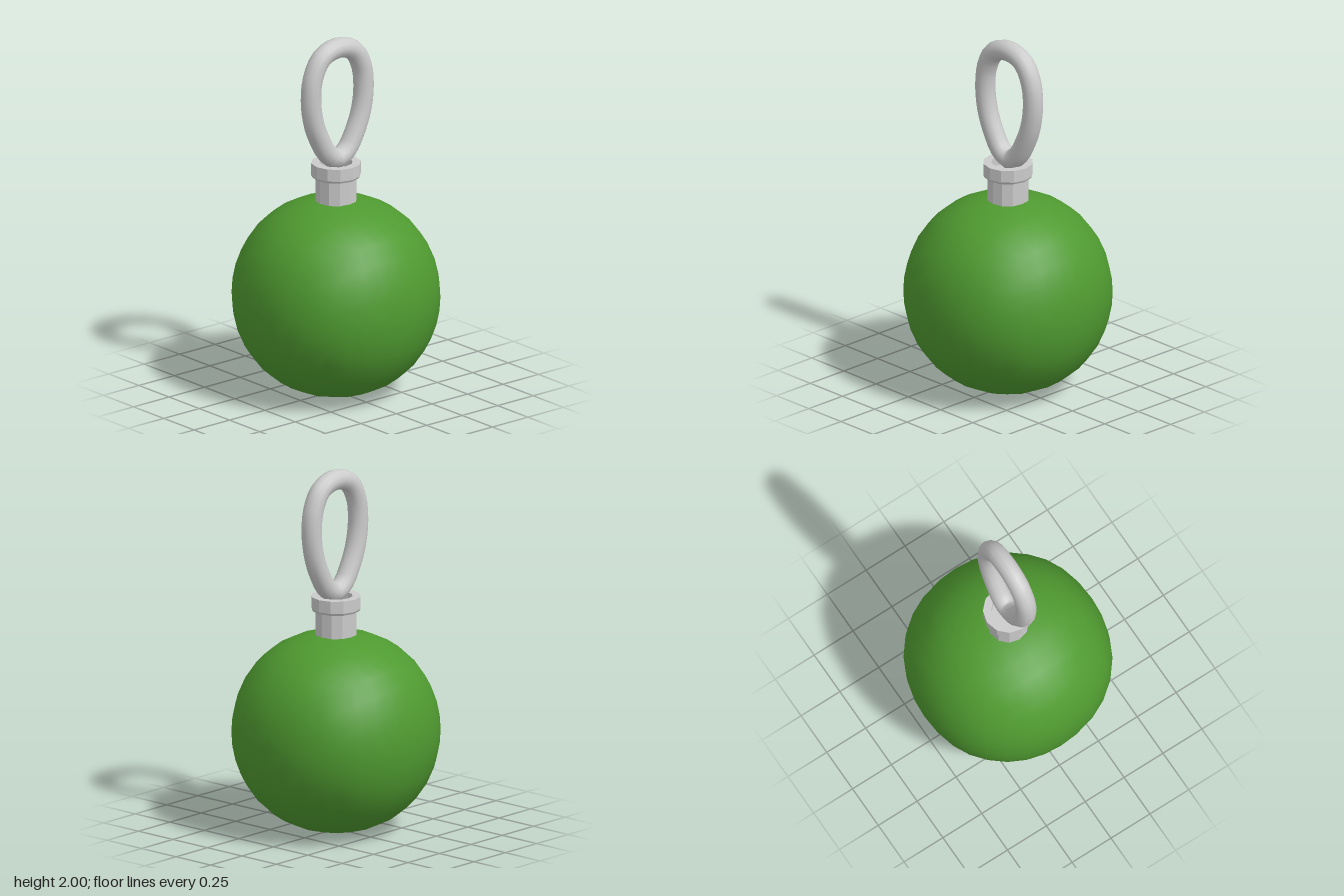
import * as THREE from 'three';
import { mergeVertices } from 'three/addons/utils/BufferGeometryUtils.js';

const green = new THREE.MeshStandardMaterial({ color: 0x4f9a30 });
const grey = new THREE.MeshStandardMaterial({ color: 0xcccccc });
const greyFlat = new THREE.MeshStandardMaterial({ color: 0xcccccc, flatShading: true });

function addMesh(group, name, geometry, material) {
  const mesh = new THREE.Mesh(geometry, material);
  mesh.name = name;
  group.add(mesh);
  return mesh;
}

// Subdivided cube rounded to a ball, very slightly fuller at the cube edges
function roundedCubeBall(radius) {
  let geo = new THREE.BoxGeometry(2, 2, 2, 8, 8, 8);
  geo.deleteAttribute('uv');
  geo.deleteAttribute('normal');
  geo = mergeVertices(geo);
  const pos = geo.attributes.position;
  const v = new THREE.Vector3();
  for (let i = 0; i < pos.count; i++) {
    v.fromBufferAttribute(pos, i);
    v.set(...v.toArray().map((c) => Math.tan(c * Math.PI / 4))).normalize();
    const u = 1 - (v.x ** 4 + v.y ** 4 + v.z ** 4);
    v.multiplyScalar(radius * (1 + 0.074 * u - 0.04 * u * u));
    pos.setXYZ(i, v.x, v.y, v.z);
  }
  geo.computeVertexNormals();
  return geo;
}

// Twelve-sided turned part from [radius, y] pairs, listed from the bottom up
function turned(points) {
  return new THREE.LatheGeometry(points.map(([r, y]) => new THREE.Vector2(r, y)), 12);
}

export function createModel() {
  const model = new THREE.Group();
  model.name = 'ballPendant';

  addMesh(model, 'ball', roundedCubeBall(0.547), green).position.y = 0.55;

  // Faceted neck and the collar with a shallow recess
  addMesh(model, 'neck', turned([[0.113, 1.04], [0.113, 1.24]]), greyFlat);
  addMesh(model, 'collar', turned([
    [0.1, 1.22], [0.128, 1.22], [0.135, 1.232], [0.135, 1.3],
    [0.09, 1.3], [0.09, 1.25], [0, 1.25],
  ]), greyFlat);

  // Teardrop loop standing in the yz plane
  const half = [[0.11, 1.91], [0.17, 1.81], [0.185, 1.68], [0.165, 1.55], [0.12, 1.44], [0.065, 1.355]];
  const path = [
    [0, 1.945], ...half, [0, 1.32],
    ...half.slice().reverse().map(([z, y]) => [-z, y]),
  ].map(([z, y]) => new THREE.Vector3(0, y, z - 0.009));
  const curve = new THREE.CatmullRomCurve3(path, true);
  addMesh(model, 'hangingLoop', new THREE.TubeGeometry(curve, 40, 0.056, 12, true), grey);

  return model;
}
